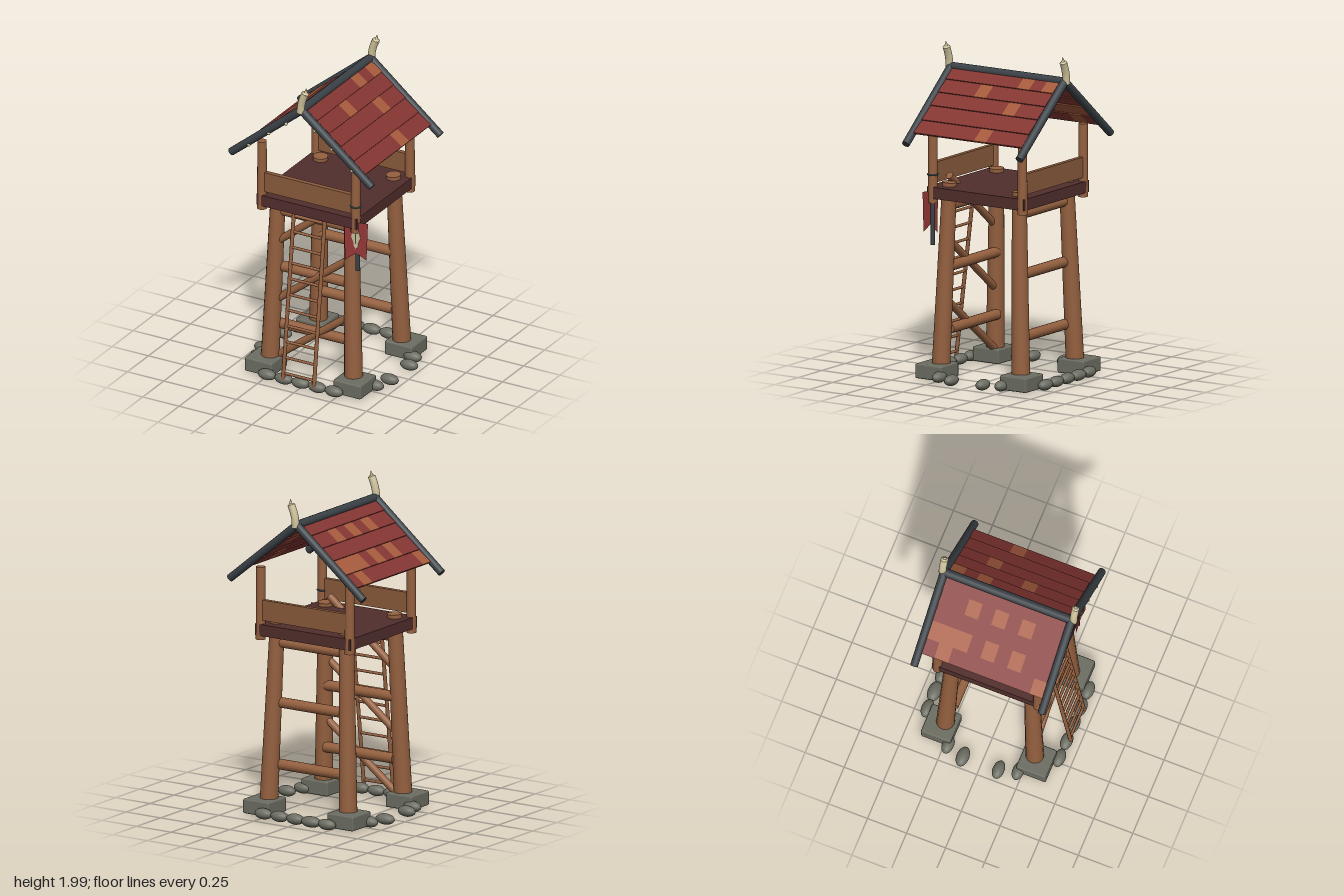
import * as THREE from 'three';
import { RoundedBoxGeometry } from 'three/addons/geometries/RoundedBoxGeometry.js';

const mat = (name, color, side = THREE.FrontSide) => {
  const m = new THREE.MeshStandardMaterial({ color, side });
  m.name = name;
  return m;
};
const V = (x, y, z) => new THREE.Vector3(x, y, z);

export function createModel() {
  const wood = mat('wood', 0x94603f);
  const plank = mat('plank wood', 0x895a3b);
  const deckWood = mat('dark deck wood', 0x512e2c);
  const iron = mat('dark beam', 0x3a4146);
  const stone = mat('stone', 0x6c6d62);
  const red = mat('red roof', 0x843632);
  const orange = mat('orange roof patch', 0xa65a3c);
  const cream = mat('horn', 0xcfc39b);
  const cloth = mat('red cloth', 0x9a3a38, THREE.DoubleSide);
  const teal = mat('teal band', 0x2f5558);

  const model = new THREE.Group();
  model.name = 'watchtower';

  const add = (name, geometry, material, x = 0, y = 0, z = 0, parent = model) => {
    const mesh = new THREE.Mesh(geometry, material);
    mesh.name = name;
    mesh.position.set(x, y, z);
    parent.add(mesh);
    return mesh;
  };
  // Round log between two points
  const log = (name, a, b, r0, r1, material, sides = 16) => {
    const dir = b.clone().sub(a);
    const mesh = add(name, new THREE.CylinderGeometry(r1, r0, dir.length(), sides), material);
    mesh.position.copy(a).add(b).multiplyScalar(0.5);
    mesh.quaternion.setFromUnitVectors(V(0, 1, 0), dir.normalize());
    return mesh;
  };

  // Footings, leaning legs and roof posts at the four corners
  for (const sx of [-1, 1]) for (const sz of [-1, 1]) {
    add('footing', new RoundedBoxGeometry(0.19, 0.09, 0.19, 1, 0.01), stone, sx * 0.305, 0.06, sz * 0.305);
    log('leg', V(sx * 0.287, 0.08, sz * 0.287), V(sx * 0.25, 1.2, sz * 0.25), 0.056, 0.045, wood);
    log('roofPost', V(sx * 0.322, 1.08, sz * 0.322), V(sx * 0.322, 1.525, sz * 0.322), 0.03, 0.028, wood);
  }

  // Horizontal cross logs, front and back
  for (const sz of [-1, 1]) for (const y of [0.31, 0.69, 1.06]) {
    log('crossLog', V(-0.25, y, sz * 0.25), V(0.25, y, sz * 0.25), 0.032, 0.032, wood);
  }
  // Diagonal braces on the front
  for (const [x, y0, y1] of [[0.25, 0.1, 0.48], [0.24, 0.48, 0.85], [0.23, 0.87, 1.235]]) {
    log('diagonalBrace', V(-x, y0, 0.265), V(x, y1, 0.265), 0.023, 0.023, wood);
  }

  // Deck and railing boards
  add('deck', new THREE.BoxGeometry(0.69, 0.07, 0.7), deckWood, 0, 1.142, 0);
  for (const sz of [-1, 1]) {
    add('railBoard', new THREE.BoxGeometry(0.61, 0.125, 0.03), plank, 0, 1.262, sz * 0.322);
  }

  // Ladder leaning on the front
  const ladderZ = (y) => 0.445 - (y - 0.05) * 0.122;
  for (const sx of [-1, 1]) {
    log('ladderRail', V(sx * 0.106, 0.04, ladderZ(0.04)), V(sx * 0.106, 1.14, ladderZ(1.14)), 0.012, 0.012, wood, 10);
  }
  for (let i = 0; i < 11; i++) {
    const y = 0.09 + i * 0.099;
    log('ladderRung', V(-0.106, y, ladderZ(y)), V(0.106, y, ladderZ(y)), 0.009, 0.009, wood, 8);
  }

  // Ring of boulders around the base
  const boulder = (x, z, k = 1) => {
    add('boulder', new THREE.SphereGeometry(1, 18, 12), stone, x, 0.042, z)
      .scale.set(0.06 * k, 0.033, 0.036 * k);
  };
  [-0.23, -0.115, 0, 0.115, 0.23].forEach((x) => {
    boulder(x, 0.422);
    boulder(x, -0.425, x === -0.115 ? 1.12 : 1);
  });
  for (const sx of [-1, 1]) {
    boulder(sx * 0.436, -0.115, sx < 0 ? 1.08 : 0.98);
    boulder(sx * 0.434, 0.113);
    boulder(sx * 0.397, 0.225);
    boulder(sx * 0.397, -0.225);
  }

  // Roof: ridge and sloping end beams
  const peak = 1.842, slope = 0.39 / 0.48, angle = Math.atan(slope);
  log('ridgeBeam', V(0, 1.842, -0.42), V(0, 1.842, 0.42), 0.026, 0.026, iron);
  for (const sx of [-1, 1]) for (const sz of [-1, 1]) {
    log('gableBeam', V(0, peak, sz * 0.408), V(sx * 0.483, peak - 0.483 * slope, sz * 0.408), 0.026, 0.024, iron);
  }

  // Roof shingles in five overlapping rows; patched columns listed per row
  const edges = [0, 0.081, 0.162, 0.243, 0.334, 0.415];
  const patches = { '-1': [[], [2, 4, 6], [], [0, 1, 2, 4, 6], [1, 8]], '1': [[0, 2], [5], [2], [], [3]] };
  const roof = new THREE.Group();
  roof.name = 'roofShingles';
  roof.position.x = 0.005;
  model.add(roof);
  for (const s of [-1, 1]) for (let row = 0; row < 5; row++) {
    const width = (row === 4 ? 0.785 : 0.768) / 9;
    const mid = (edges[row] + edges[row + 1]) / 2;
    const length = (edges[row + 1] - edges[row]) / Math.cos(angle) + 0.008;
    for (let col = 0; col < 9; col++) {
      const patched = patches[s][row].includes(col);
      add(patched ? 'patchShingle' : 'shingle', new THREE.BoxGeometry(length, 0.012, width),
        patched ? orange : red, s * mid, peak - mid * slope + 0.004, (col - 4) * width, roof)
        .rotation.z = -s * (angle - 0.06);
    }
  }

  // Pegs along the front gable
  for (const sx of [-1, 1]) for (const [x, y] of [[0.098, 1.735], [0.217, 1.642], [0.355, 1.533]]) {
    add('gablePeg', new THREE.SphereGeometry(0.011, 10, 8), cream, sx * x, y, 0.424);
  }

  // Curved horns on both ridge ends
  for (const sz of [-1, 1]) {
    const z = sz * 0.42;
    const curve = new THREE.CatmullRomCurve3([V(0, 1.83, z), V(0.004, 1.88, z), V(0.016, 1.925, z), V(0.033, 1.965, z)]);
    add('horn', new THREE.TubeGeometry(curve, 10, 0.023, 14), cream);
    log('hornShoulder', V(0.033, 1.965, z), V(0.036, 1.973, z), 0.023, 0.011, cream, 14);
    log('hornTip', V(0.035, 1.97, z), V(0.039, 2, z), 0.011, 0.001, cream, 10);
  }

  // Hanging banner on its pole, with a plain crest
  log('bannerPole', V(0.332, 0.825, 0.315), V(0.332, 1.25, 0.315), 0.014, 0.014, iron, 12);
  const flat = (points) => new THREE.Shape(points.map(([x, y]) => new THREE.Vector2(x, y)));
  add('banner', new THREE.ShapeGeometry(flat([
    [0.25, 1.14], [0.413, 1.157], [0.403, 0.912], [0.332, 0.945], [0.255, 0.883],
  ])), cloth, 0, 0, 0.334);
  const crest = [[0.332, 0.972], [0.345, 0.99], [0.35, 1.02], [0.364, 1.05], [0.352, 1.09],
    [0.312, 1.09], [0.3, 1.05], [0.314, 1.02], [0.319, 0.99]];
  add('bannerCrest', new THREE.ExtrudeGeometry(flat(crest), { depth: 0.004, bevelEnabled: false }), cream, 0, 0, 0.335);
  add('crestStripe', new THREE.BoxGeometry(0.006, 0.07, 0.004), iron, 0.332, 1.045, 0.339);
  add('postBand', new THREE.TorusGeometry(0.03, 0.005, 8, 20), teal, 0.322, 1.25, 0.322).rotation.x = Math.PI / 2;

  return model;
}
